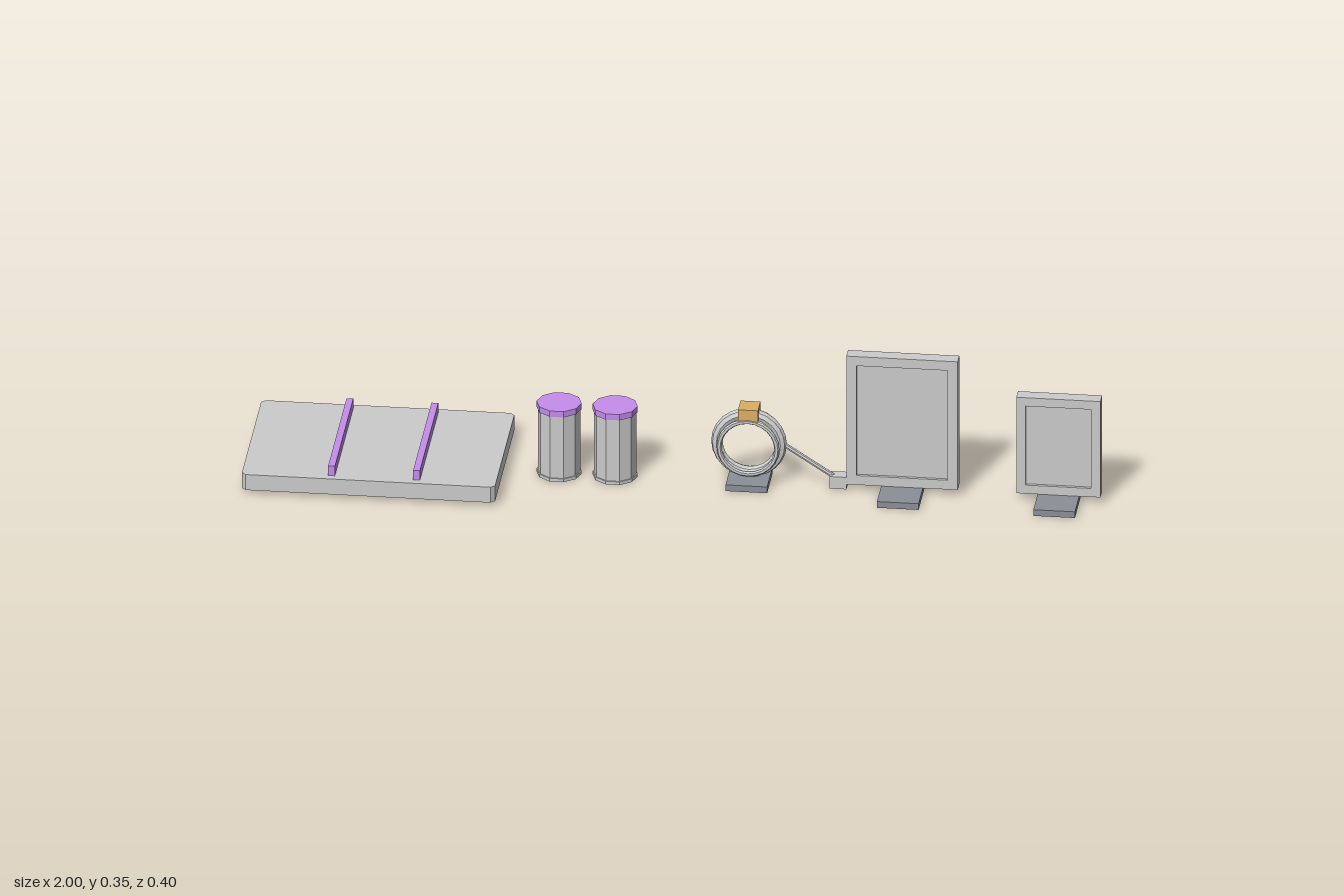
import * as THREE from 'three';

const mat = (color) => new THREE.MeshStandardMaterial({ color, flatShading: true });

export function createModel() {
  const model = new THREE.Group();
  const grey = mat(0xcccccc);
  const dark = mat(0x8a9098);
  const purple = mat(0xc68cec);
  const gold = mat(0xdcae66);

  const add = (name, geometry, material, x, y, z, parent = model) => {
    const mesh = new THREE.Mesh(geometry, material);
    mesh.name = name;
    mesh.position.set(x, y, z);
    parent.add(mesh);
    return mesh;
  };
  // Box given by its limits on each axis
  const box = (name, material, [x0, x1], [y0, y1], [z0, z1], parent) =>
    add(name, new THREE.BoxGeometry(x1 - x0, y1 - y0, z1 - z0), material,
      (x0 + x1) / 2, (y0 + y1) / 2, (z0 + z1) / 2, parent);
  const group = (name) => {
    const g = new THREE.Group();
    g.name = name;
    model.add(g);
    return g;
  };

  // Low platform: slab with clipped corners, plinth and two rails
  const platform = group('platform');
  const w = 0.298, d = 0.2, c = 0.01;
  const outline = new THREE.Shape([
    [-w + c, -d], [w - c, -d], [w, -d + c], [w, d - c],
    [w - c, d], [-w + c, d], [-w, d - c], [-w, -d + c],
  ].map(([x, y]) => new THREE.Vector2(x, y)));
  const slab = new THREE.ExtrudeGeometry(outline, { depth: 0.04, bevelEnabled: false });
  slab.rotateX(-Math.PI / 2);
  add('platformSlab', slab, grey, -0.702, 0.01, 0, platform);
  box('platformPlinth', dark, [-0.95, -0.455], [0, 0.01], [-0.15, 0.15], platform);
  for (const x of [-0.79, -0.59])
    box('platformRail', purple, [x - 0.008, x + 0.008], [0.05, 0.075], [-0.182, 0.182], platform);

  // Two ten-sided drums with foot flange and coloured lid
  for (const x of [-0.276, -0.144]) {
    const drum = group('drum');
    const ring = (name, r, y0, y1, material) => {
      const g = new THREE.CylinderGeometry(r, r, y1 - y0, 10);
      g.rotateY(Math.PI / 2);
      add(name, g, material, x, (y0 + y1) / 2, 0, drum);
    };
    ring('drumFoot', 0.053, 0, 0.008, grey);
    ring('drumBody', 0.05, 0.008, 0.168, grey);
    ring('drumLid', 0.053, 0.168, 0.183, purple);
  }

  // Upright ring on a foot, with a thin front ring and a block on top
  const gate = group('ringStand');
  box('ringFoot', dark, [0.122, 0.22], [0, 0.016], [-0.053, 0.053], gate);
  add('mainRing', new THREE.TorusGeometry(0.0755, 0.0135, 8, 24), grey, 0.171, 0.104, 0, gate);
  add('frontRing', new THREE.TorusGeometry(0.068, 0.006, 6, 24), grey, 0.171, 0.1, 0.022, gate);
  box('ringBlock', gold, [0.148, 0.195], [0.165, 0.199], [-0.025, 0.025], gate);

  // Sloping rod from the ring down to a small block
  const a = new THREE.Vector3(0.255, 0.102, 0);
  const b = new THREE.Vector3(0.385, 0.018, 0);
  const rod = add('linkRod', new THREE.CylinderGeometry(0.006, 0.006, a.distanceTo(b), 8), grey,
    (a.x + b.x) / 2, (a.y + b.y) / 2, 0, gate);
  rod.rotation.z = Math.atan2(b.y - a.y, b.x - a.x) - Math.PI / 2;
  box('linkBlock', grey, [0.362, 0.402], [0.002, 0.033], [-0.015, 0.015], gate);

  // Framed panels, recessed on both faces, standing on foot plates
  const panel = (x0, x1, y1, f) => {
    const g = group('framedPanel');
    const y0 = 0.016;
    const rect = (T, l, r, bot, top) => new T([[l, bot], [r, bot], [r, top], [l, top]]
      .map(([x, y]) => new THREE.Vector2(x, y)));
    const frame = rect(THREE.Shape, x0, x1, y0, y1);
    frame.holes.push(rect(THREE.Path, x0 + f, x1 - f, y0 + f, y1 - f));
    add('panelFrame', new THREE.ExtrudeGeometry(frame, { depth: 0.033, bevelEnabled: false }),
      grey, 0, 0, -0.0165, g);
    box('panelSheet', grey, [x0 + f, x1 - f], [y0 + f, y1 - f], [-0.009, 0.009], g);
    const xc = (x0 + x1) / 2;
    box('panelFoot', dark, [xc - 0.049, xc + 0.049], [0, y0], [-0.066, 0.1], g);
  };
  panel(0.402, 0.664, 0.349, 0.024);
  panel(0.802, 1, 0.265, 0.022);

  return model;
}
